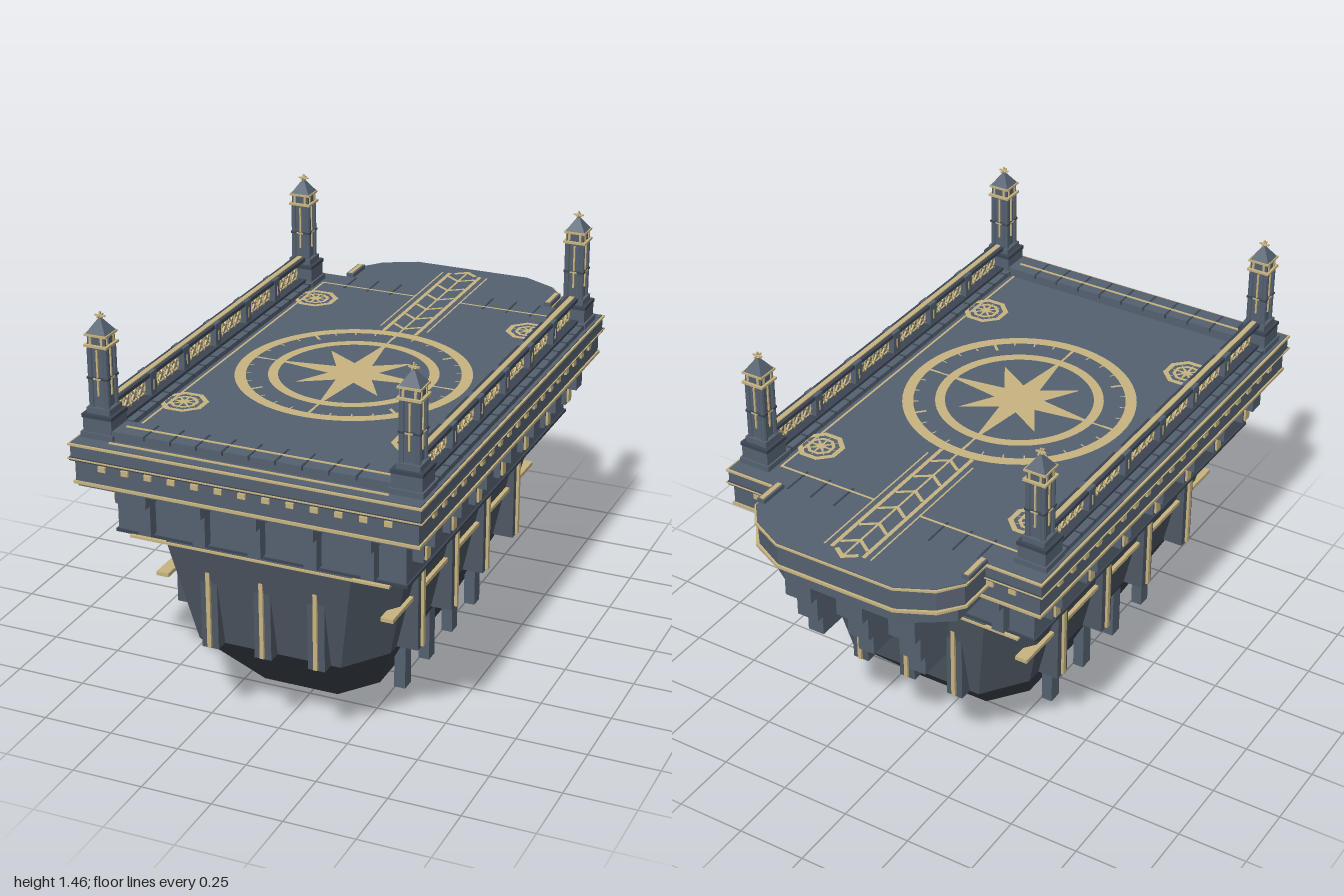
import * as THREE from 'three';

const mat = (name, color, double) => {
  const m = new THREE.MeshStandardMaterial({ color });
  m.name = name;
  m.flatShading = true;
  if (double) m.side = THREE.DoubleSide;
  return m;
};
const CZ = 0.125; // centre of the main deck along z
const DECK = 1.04;

export function createModel() {
  const root = new THREE.Group();
  const stone = mat('slate stone', 0x556170);
  const hullMat = mat('hull slate', 0x4e5863);
  const keelMat = mat('keel slate', 0x3b434e);
  const trim = mat('dark trim', 0x3b4552);
  const gold = mat('pale gold', 0xc8b480);

  const add = (name, geo, m, parent = root) => {
    const mesh = new THREE.Mesh(geo, m);
    mesh.name = name;
    parent.add(mesh);
    return mesh;
  };
  // box given by its limits
  const box = (name, m, x0, x1, y0, y1, z0, z1, parent) => {
    const b = add(name, new THREE.BoxGeometry(x1 - x0, y1 - y0, z1 - z0), m, parent);
    b.position.set((x0 + x1) / 2, (y0 + y1) / 2, (z0 + z1) / 2);
    return b;
  };
  const group = (name, x = 0, y = 0, z = 0, ry = 0, parent = root) => {
    const g = new THREE.Group();
    g.name = name;
    g.position.set(x, y, z);
    g.rotation.y = ry;
    parent.add(g);
    return g;
  };

  // Hull: chamfered rectangular sections joined from bottom to top
  const section = ([y, hx, hz, cx, cz]) => [
    [hx, -hz + cz], [hx, hz - cz], [hx - cx, hz], [-hx + cx, hz],
    [-hx, hz - cz], [-hx, -hz + cz], [-hx + cx, -hz], [hx - cx, -hz],
  ].map(([x, z]) => [x, y, z + CZ]);
  const loft = (sections) => {
    const rings = sections.map(section), p = [];
    const tri = (a, b, c) => p.push(...a, ...b, ...c);
    for (let r = 0; r + 1 < rings.length; r++) {
      for (let i = 0; i < 8; i++) {
        const j = (i + 1) % 8, a = rings[r], b = rings[r + 1];
        tri(a[i], b[i], b[j]);
        tri(a[i], b[j], a[j]);
      }
    }
    const lo = rings[0], hi = rings[rings.length - 1];
    for (let i = 1; i < 7; i++) {
      tri(lo[0], lo[i], lo[i + 1]);
      tri(hi[0], hi[i + 1], hi[i]);
    }
    const g = new THREE.BufferGeometry();
    g.setAttribute('position', new THREE.Float32BufferAttribute(p, 3));
    g.computeVertexNormals();
    return g;
  };
  add('upperHull', loft([[0.32, 0.365, 0.685, 0.11, 0.15], [0.695, 0.45, 0.76, 0.125, 0.17]]), hullMat);
  add('lowerHull', loft([[0.065, 0.235, 0.445, 0.1, 0.13], [0.32, 0.365, 0.685, 0.11, 0.15]]), keelMat);
  const tip = add('keelPoint', new THREE.ConeGeometry(0.145, 0.066, 8), gold);
  tip.rotation.x = Math.PI;
  tip.position.set(0, 0.033, CZ);

  // Ribs, belts and fins on the hull
  for (const s of [-1, 1]) {
    const side = group('hullSide', 0, 0, 0, s > 0 ? Math.PI / 2 : -Math.PI / 2);
    for (const z of [0.576, 0.276, -0.019, -0.32]) {
      const u = -s * z;
      box('sideRib', hullMat, u - 0.032, u + 0.032, 0.32, 0.69, 0.36, 0.44, side);
      box('sideRibInlay', gold, u - 0.008, u + 0.008, 0.325, 0.69, 0.435, 0.45, side);
    }
    box('sideBelt', gold, -s * CZ - 0.655, -s * CZ + 0.655, 0.502, 0.516, 0.38, 0.424, side);
    for (const z of [0.453, 0.238, 0.024, -0.196]) {
      box('keelFin', stone, -s * z - 0.025, -s * z + 0.025, 0.085, 0.32, 0.303, 0.343, side);
    }
    const end = group('hullEnd', 0, 0, CZ, s > 0 ? 0 : Math.PI);
    for (const x of [-0.19, 0, 0.19]) {
      box('endRib', hullMat, x - 0.03, x + 0.03, 0.32, 0.6, 0.67, 0.733, end);
      box('endRibInlay', gold, x - 0.007, x + 0.007, 0.325, 0.6, 0.725, 0.743, end);
    }
  }

  // Stacked deck tiers: half width, bottom, top
  const tier = (name, m, h, y0, y1, extra = 0.265) =>
    box(name, m, -h, h, y0, y1, CZ - h - extra, CZ + h + extra);
  tier('bracketTier', stone, 0.505, 0.7, 0.886, 0.24);
  tier('bracketTierBase', trim, 0.512, 0.692, 0.702, 0.24);
  tier('bracketTierLine', gold, 0.455, 0.686, 0.694, 0.31);
  tier('deckSoffit', stone, 0.585, 0.885, 0.895);
  tier('lowerGoldLine', gold, 0.596, 0.895, 0.905);
  tier('frieze', stone, 0.59, 0.905, 0.978);
  tier('ledge', trim, 0.604, 0.978, 0.99);
  tier('ledgeLine', gold, 0.608, 0.984, 0.988);
  tier('cornice', stone, 0.6, 0.99, 1.03);
  tier('upperGoldLine', gold, 0.606, 1.03, 1.037);
  tier('deckFloor', stone, 0.598, 1.037, DECK);

  // Dentils and stepped brackets on all four faces
  const bracket = (u, f, panel, parent) => {
    box('bracketTop', stone, u - 0.03, u + 0.03, 0.828, 0.886, f - 0.02, f + 0.078, parent);
    box('bracketFoot', stone, u - 0.023, u + 0.023, panel ? 0.762 : 0.712, 0.828, f - 0.02, f + 0.038, parent);
    if (panel) box('bracketPanel', gold, u - 0.015, u + 0.015, 0.77, 0.825, f + 0.03, f + 0.046, parent);
  };
  for (let k = 0; k < 4; k++) {
    const long = k % 2 === 1;
    const face = group('deckFace', 0, 0, CZ, k * Math.PI / 2);
    const n = long ? 19 : 13, f = long ? 0.59 : 0.855;
    for (let i = 0; i < n; i++) {
      const u = (i - (n - 1) / 2) * 0.082;
      box('dentil', gold, u - 0.013, u + 0.013, 0.952, 0.97, f - 0.005, f + 0.008, face);
    }
    const m = long ? 7 : 5, step = long ? 0.2245 : 0.195;
    for (let i = 0; i < m; i++) bracket((i - (m - 1) / 2) * step, long ? 0.505 : 0.745, long, face);
  }

  // Rear balcony with its stepped corbels
  const balcony = (name, m, inset, y0, y1) => {
    const w = 0.405 - inset, e = 1 - inset;
    const s = new THREE.Shape([[-w, 0.7], [w, 0.7], [w, 0.86], [0.345 - inset, e - 0.06], [0.22, e],
      [-0.22, e], [-0.345 + inset, e - 0.06], [-w, 0.86]].map(([x, y]) => new THREE.Vector2(x, y)));
    const g = new THREE.ExtrudeGeometry(s, { depth: y1 - y0, bevelEnabled: false });
    add(name, g.rotateX(-Math.PI / 2), m).position.y = y0;
  };
  balcony('balconyBase', stone, 0.035, 0.88, 0.945);
  balcony('balconyLowerLine', gold, 0, 0.945, 0.955);
  balcony('balconySlab', stone, 0.008, 0.955, 1.03);
  balcony('balconyUpperLine', gold, 0, 1.03, 1.037);
  balcony('balconyFloor', stone, 0.006, 1.037, DECK);
  for (const x of [-0.2, 0, 0.2]) {
    [[0.78, 0.88, 0.925], [0.675, 0.78, 0.88], [0.59, 0.675, 0.84]].forEach(([y0, y1, z], i) =>
      box('balconyCorbel', stone, x - 0.05 + i * 0.01, x + 0.05 - i * 0.01, y0, y1, -z, -0.715));
  }
  for (const s of [-1, 1]) {
    const c = group('balconyKerb', s * 0.39, 0, -0.79);
    box('kerbStone', stone, -0.014, 0.014, DECK, 1.055, -0.055, 0.055, c);
    box('kerbInlay', gold, -0.008, 0.008, 1.05, 1.058, -0.05, 0.05, c);
  }

  // Front kerb with coping joints
  box('frontKerb', stone, -0.49, 0.49, DECK, 1.073, 0.835, 0.93);
  box('frontKerbLine', gold, -0.455, 0.455, 1.07, 1.076, 0.875, 0.883);
  box('frontEdgeLine', gold, -0.48, 0.48, DECK, 1.044, 0.947, 0.955);
  for (let i = -4; i <= 4; i++) {
    const x = i * 0.091;
    box('kerbJoint', trim, x - 0.003, x + 0.003, 1.06, 1.075, 0.833, 0.932);
    if (Math.abs(i) > 1) box('rearJoint', trim, x - 0.003, x + 0.003, DECK - 0.002, 1.042, -0.735, -0.62);
  }

  // Balustrades with lattice bays
  const ring = new THREE.TorusGeometry(0.026, 0.0035, 4, 10);
  for (const s of [-1, 1]) {
    const b = group('balustrade', s * 0.53, 0, CZ);
    box('balustradeBase', stone, -0.055, 0.055, DECK, 1.058, -0.72, 0.72, b);
    box('balustradePlinth', trim, -0.03, 0.03, 1.058, 1.068, -0.72, 0.72, b);
    box('topRail', trim, -0.022, 0.022, 1.133, 1.146, -0.72, 0.72, b);
    box('topRailInlay', gold, -0.009, 0.009, 1.144, 1.15, -0.72, 0.72, b);
    for (let i = -8; i <= 8; i++) box('baseJoint', trim, -0.056, 0.056, 1.05, 1.06, i * 0.085 - 0.003, i * 0.085 + 0.003, b);
    for (let i = -2; i <= 2; i++) {
      box('railPost', stone, -0.024, 0.024, 1.058, 1.148, i * 0.236 - 0.02, i * 0.236 + 0.02, b);
      box('railPostInlay', gold, -0.026, 0.026, 1.085, 1.12, i * 0.236 - 0.003, i * 0.236 + 0.003, b);
    }
    for (let bay = 0; bay < 6; bay++) {
      for (let j = 0; j < 4; j++) {
        const z = (bay - 2.5) * 0.236 + (j - 1.5) * 0.049;
        const r = add('latticeRing', ring, gold, b);
        r.rotation.y = Math.PI / 2;
        r.position.set(0, 1.1, z);
        for (const t of [-1, 1]) {
          const d = add('latticeBar', new THREE.BoxGeometry(0.006, 0.078, 0.005), gold, b);
          d.position.set(0, 1.1, z);
          d.rotation.x = t * 0.68;
        }
      }
    }
  }

  // Corner towers
  for (const x of [-0.53, 0.53]) for (const z of [-0.633, 0.883]) {
    const t = group('cornerTower', x, 0, z);
    const sq = (name, m, h, y0, y1) => box(name, m, -h, h, y0, y1, -h, h, t);
    sq('pedestalFoot', stone, 0.058, DECK, 1.06);
    sq('pedestal', stone, 0.051, 1.06, 1.108);
    sq('pedestalCap', trim, 0.054, 1.108, 1.12);
    sq('shaftFoot', stone, 0.041, 1.12, 1.14);
    sq('shaft', stone, 0.029, 1.14, 1.345);
    sq('shaftBand', trim, 0.037, 1.236, 1.243);
    sq('lowerCollar', gold, 0.041, 1.345, 1.353);
    sq('lantern', stone, 0.032, 1.353, 1.383);
    sq('upperCollar', gold, 0.039, 1.381, 1.388);
    for (let k = 0; k < 4; k++) {
      const f = group('towerFace', 0, 0, 0, k * Math.PI / 2, t);
      const c = add('cornerShaft', new THREE.CylinderGeometry(0.01, 0.01, 0.205, 8), stone, f);
      c.position.set(0.027, 1.2425, 0.027);
      box('shaftInlay', gold, -0.003, 0.003, 1.18, 1.335, 0.028, 0.034, f);
      box('bandInlay', gold, -0.013, 0.013, 1.237, 1.242, 0.03, 0.039, f);
      for (const u of [-0.02, 0.02]) box('lanternInlay', gold, u - 0.004, u + 0.004, 1.355, 1.381, 0.03, 0.036, f);
    }
    const roof = add('spire', new THREE.CylinderGeometry(0.007, 0.05, 0.045, 4).rotateY(Math.PI / 4), stone, t);
    roof.position.y = 1.41;
    add('finialBall', new THREE.OctahedronGeometry(0.012), gold, t).position.y = 1.438;
    box('finialPin', gold, -0.003, 0.003, 1.43, 1.455, -0.003, 0.003, t);
    box('finialBarX', gold, -0.018, 0.018, 1.439, 1.444, -0.003, 0.003, t);
    box('finialBarZ', gold, -0.003, 0.003, 1.439, 1.444, -0.018, 0.018, t);
  }

  // Flat gold inlays on the deck
  const TOP = DECK + 0.003;
  const flat = (name, geo, x, z, m = gold, lift = 0) =>
    add(name, geo.rotateX(-Math.PI / 2), m).position.set(x, TOP + lift, z);
  const bar = (name, x, z, w, l, a = 0) => flat(name, new THREE.PlaneGeometry(w, l).rotateZ(a), x, z);
  const star = (long, short, points, turn) => new THREE.ShapeGeometry(new THREE.Shape(
    Array.from({ length: points * 2 }, (_, i) => {
      const r = i % 2 ? short : long, a = turn + i * Math.PI / points;
      return new THREE.Vector2(r * Math.cos(a), r * Math.sin(a));
    })));
  const cz = 0.12;
  flat('outerRing', new THREE.RingGeometry(0.365, 0.403, 64), 0, cz);
  flat('innerRing', new THREE.RingGeometry(0.256, 0.29, 64), 0, cz);
  flat('mainStar', star(0.3, 0.055, 4, 0), 0, cz);
  flat('diagonalStar', star(0.215, 0.06, 4, Math.PI / 4), 0, cz, gold, 0.001);
  flat('starDisc', new THREE.CircleGeometry(0.085, 24), 0, cz, gold, 0.002);
  for (let i = 0; i < 32; i++) {
    const a = i * Math.PI / 16, l = i % 4 ? 0.02 : 0.04, r = 0.367 - l / 2;
    bar('compassTick', r * Math.sin(a), cz - r * Math.cos(a), i % 4 ? 0.005 : 0.01, l, -a);
  }
  for (let i = 0; i < 4; i++) {
    const a = i * Math.PI / 2;
    bar('compassNeedle', 0.28 * Math.sin(a), cz - 0.28 * Math.cos(a), 0.008, 0.2, -a);
  }
  // Runway with chevrons
  for (const s of [-1, 1]) {
    bar('runwayLine', s * 0.06, -0.6, 0.014, 0.64);
    bar('runwayThinLine', s * 0.088, -0.62, 0.006, 0.6);
    for (let i = 0; i < 6; i++) bar('chevronArm', s * 0.026, -0.865 + i * 0.105, 0.012, 0.064, -s * 0.95);
    bar('arrowArm', s * 0.018, -0.935, 0.016, 0.058, s * 0.95);
    // Border lines
    bar('sideBorder', s * 0.456, 0.11, 0.008, 1.5);
    bar('rearBorder', s * 0.275, -0.64, 0.37, 0.009);
    for (const z of [-0.476, 0.566]) {
      flat('medallionRing', new THREE.RingGeometry(0.064, 0.083, 8, 1, Math.PI / 8), s * 0.413, z);
      flat('medallionInnerRing', new THREE.RingGeometry(0.038, 0.05, 8, 1, Math.PI / 8), s * 0.413, z);
      flat('medallionStar', star(0.066, 0.014, 8, 0), s * 0.413, z, gold, 0.001);
    }
  }
  bar('runwayCentre', 0, -0.6, 0.008, 0.68);
  return root;
}
